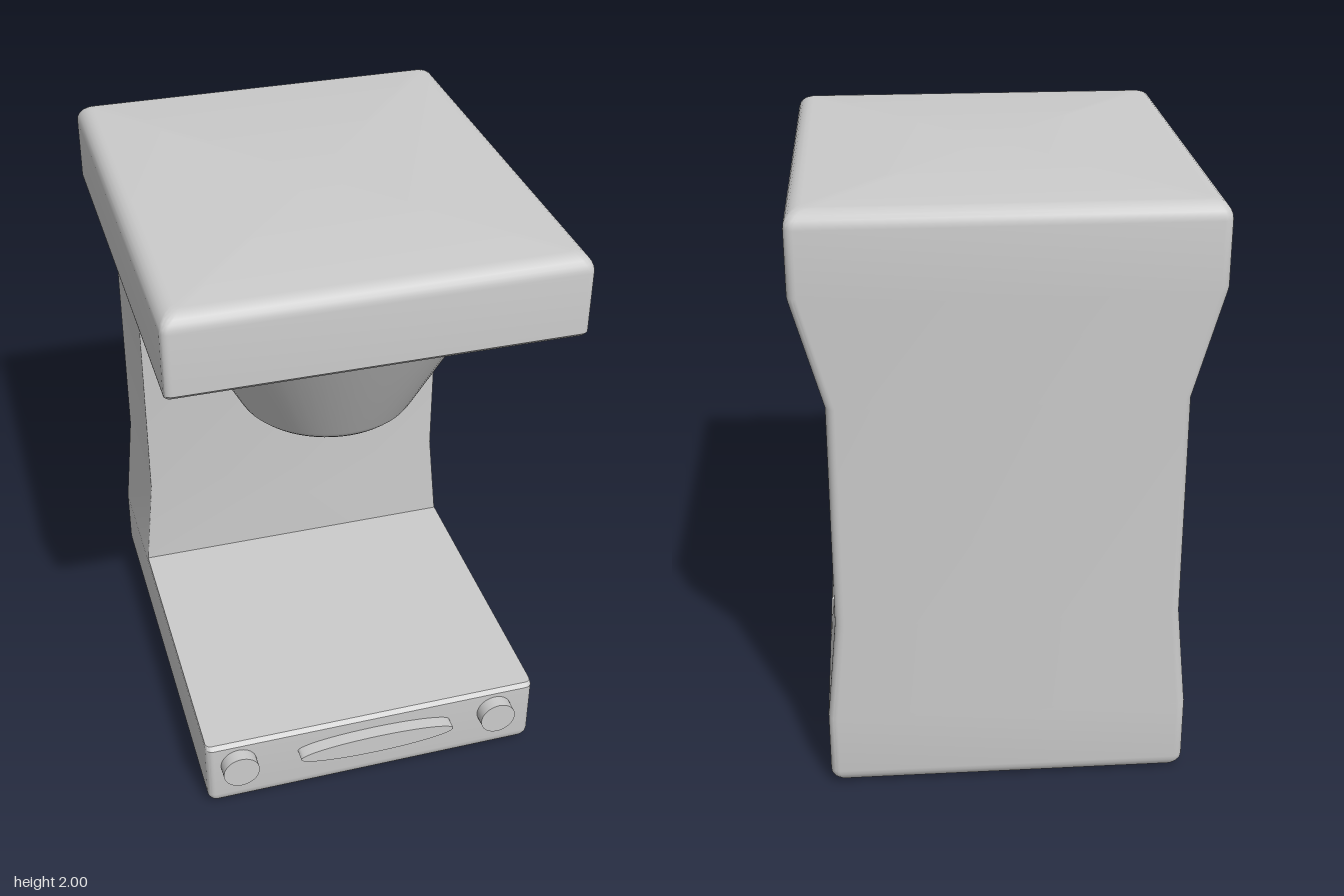
import * as THREE from 'three';
import { toCreasedNormals } from 'three/addons/utils/BufferGeometryUtils.js';

const CORNER_STEPS = 6;
const BACK = -0.785, FRONT = 0.74, COLUMN = -0.315;

// Horizontal rounded rectangle at height y
function section([y, hw, zb, zf, rBack, rFront]) {
  const corners = [
    [hw, zf, rFront, 1, 1, 0], [-hw, zf, rFront, -1, 1, 1],
    [-hw, zb, rBack, -1, -1, 2], [hw, zb, rBack, 1, -1, 3],
  ];
  const pts = [];
  for (const [x, z, r, sx, sz, q] of corners) {
    for (let i = 0; i <= CORNER_STEPS; i++) {
      const a = (q + i / CORNER_STEPS) * Math.PI / 2;
      pts.push([x - sx * r + r * Math.cos(a), y, z - sz * r + r * Math.sin(a)]);
    }
  }
  return pts;
}

// Skin a stack of sections from bottom to top
function loft(levels) {
  const rings = levels.map(section);
  const n = rings[0].length;
  const geo = new THREE.BufferGeometry();
  const index = [];
  for (let j = 0; j < rings.length - 1; j++) {
    for (let i = 0; i < n; i++) {
      const a = j * n + i, b = j * n + (i + 1) % n;
      index.push(a, a + n, b, b, a + n, b + n);
    }
  }
  geo.setAttribute('position', new THREE.Float32BufferAttribute(rings.flat(2), 3));
  geo.setIndex(index);
  return toCreasedNormals(geo.toNonIndexed(), 0.5);
}

export function createModel() {
  const group = new THREE.Group();
  const material = new THREE.MeshStandardMaterial({ color: 0xcccccc });
  const add = (name, geometry, x, y, z) => {
    const mesh = new THREE.Mesh(geometry, material);
    mesh.name = name;
    mesh.position.set(x, y, z);
    group.add(mesh);
    return mesh;
  };

  // C-shaped body: base slab, waisted column, overhanging head
  const levels = [[0, 0, 0, 0, 0, 0]];
  const edge = (y, hw, r, top) => {
    for (let k = 0; k <= 6; k++) {
      const a = (top ? k : 6 - k) / 6 * Math.PI / 2;
      const inset = r * (1 - Math.cos(a)), dy = r * (1 - Math.sin(a));
      levels.push([top ? y - dy : y + dy, hw - inset, BACK + inset, FRONT - inset, 0.03, 0.025]);
    }
  };
  edge(0, 0.595, 0.055, false);
  levels.push(
    [0.268, 0.595, BACK, FRONT, 0.03, 0.025],
    [0.281, 0.593, BACK, FRONT - 0.014, 0.03, 0.02],
    [0.283, 0.593, BACK, COLUMN, 0.03, 0.004],
    [0.62, 0.56, BACK, COLUMN, 0.03, 0.004],
    [1.38, 0.56, BACK, COLUMN, 0.03, 0.004],
    [1.723, 0.655, BACK, COLUMN, 0.03, 0.004],
    [1.723, 0.655, BACK, FRONT - 0.015, 0.03, 0.02],
    [1.738, 0.658, BACK, FRONT, 0.03, 0.025],
  );
  edge(2, 0.658, 0.055, true);
  levels.push([2, 0, 0, 0, 0, 0]);
  add('body', loft(levels), 0, 0, 0);

  // Funnel under the head, with an outlet recessed in its underside
  const profile = [
    [0, 0.08], [0.055, 0.08], [0.055, 0], [0.265, 0], [0.282, 0.004],
    [0.295, 0.016], [0.305, 0.032], [0.518, 0.43],
  ].map(([r, y]) => new THREE.Vector2(r, y));
  const funnel = new THREE.LatheGeometry(profile, 64);
  add('funnel', toCreasedNormals(funnel.toNonIndexed(), 0.6), -0.02, 1.302, 0.195);

  // Round buttons on the front of the base
  for (const side of [-1, 1]) {
    const button = new THREE.CylinderGeometry(0.063, 0.063, 0.085, 40);
    button.rotateX(Math.PI / 2);
    add(side < 0 ? 'rightButton' : 'leftButton', button, side * 0.468 - 0.016, 0.19, 0.7425);
  }

  // Slim oval panel between the buttons
  const outline = new THREE.Shape();
  outline.absellipse(0, 0, 0.278, 0.038, 0, Math.PI * 2);
  const panel = new THREE.ExtrudeGeometry(outline, { depth: 0.085, bevelEnabled: false, curveSegments: 32 });
  add('ovalPanel', toCreasedNormals(panel, 0.5), 0.005, 0.19, 0.7);

  return group;
}
